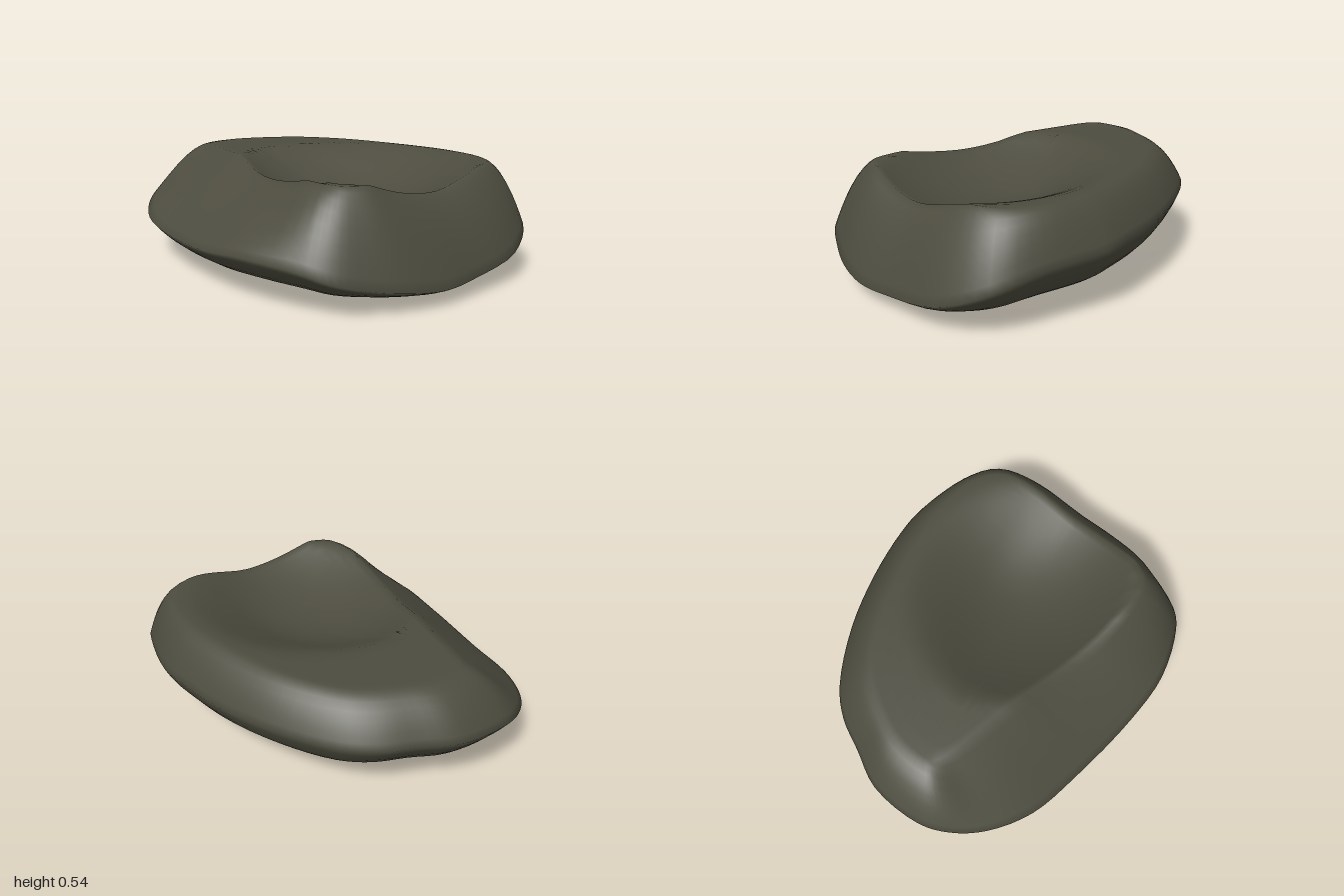
import * as THREE from 'three';
import { mergeVertices } from 'three/addons/utils/BufferGeometryUtils.js';

// Around the stone: widest edge x, y, z, then the top crest x, z
const RIM = [
  [0.975, 0.09, 0.0, 0.75, 0.0], [0.95, 0.08, 0.2, 0.71, 0.2],
  [0.89, 0.1, 0.38, 0.67, 0.34], [0.79, 0.13, 0.55, 0.63, 0.43],
  [0.69, 0.17, 0.68, 0.58, 0.48], [0.57, 0.21, 0.745, 0.5, 0.49],
  [0.28, 0.23, 0.797, 0.26, 0.45], [0.0, 0.2, 0.76, 0.0, 0.36],
  [-0.4, 0.18, 0.65, -0.32, 0.22], [-0.67, 0.2, 0.55, -0.54, 0.14],
  [-0.86, 0.24, 0.4, -0.67, 0.09], [-0.96, 0.28, 0.25, -0.73, 0.05],
  [-1.0, 0.31, 0.1, -0.74, 0.0], [-0.96, 0.33, -0.17, -0.71, -0.15],
  [-0.85, 0.34, -0.34, -0.64, -0.27], [-0.75, 0.34, -0.49, -0.56, -0.37],
  [-0.62, 0.34, -0.6, -0.47, -0.45], [-0.32, 0.34, -0.725, -0.25, -0.55],
  [0.0, 0.33, -0.79, 0.0, -0.6], [0.27, 0.33, -0.803, 0.25, -0.62],
  [0.43, 0.32, -0.79, 0.4, -0.62], [0.72, 0.3, -0.68, 0.62, -0.57],
  [0.92, 0.23, -0.55, 0.75, -0.46], [1.0, 0.14, -0.32, 0.78, -0.27],
];
const SEGMENTS = 96;
const BOWL = { x: 0.25, z: -0.03, depth: 0.18 };
const BASE = { x: 0.16, z: -0.05 };

const { lerp: mix, clamp, smoothstep } = THREE.MathUtils;

// Height of the top: the hollow has a different reach on each side and a soft back edge
function topHeight(x, z) {
  const dx = x - BOWL.x, dz = z - BOWL.z;
  const u = (dx / (dx > 0 ? 0.66 : 0.62)) ** 2 + (dz / (dz > 0 ? 0.52 : 0.58)) ** 2;
  const softness = 1 + 0.6 * clamp(-dz / 0.3, 0, 1);
  return 0.535 - BOWL.depth * Math.max(0, 1 - u) ** softness;
}

// The sides swell outwards, except for the flat front face
function swell(edge) {
  return 0.22 - 0.18 * smoothstep(edge.z, 0.15, 0.45) * (1 - smoothstep(edge.x, 0.3, 0.6));
}

function stoneGeometry() {
  const loop = (points) => new THREE.CatmullRomCurve3(points, true, 'centripetal');
  const edgeCurve = loop(RIM.map(([x, y, z]) => new THREE.Vector3(x, y, z)));
  const crestCurve = loop(RIM.map((r) => new THREE.Vector3(r[3], 0, r[4])));

  // Rings run from the hollow, over the crest, down the sides and under the base
  const rings = [];
  for (let i = 0; i <= 14; i++) {
    const t = i / 14;
    rings.push((edge, crest) => {
      const x = mix(BOWL.x, crest.x, t), z = mix(BOWL.z, crest.z, t);
      return [x, topHeight(x, z), z];
    });
  }
  for (const t of [0.12, 0.25, 0.4, 0.55, 0.7, 0.82, 0.92, 1]) {
    rings.push((edge, crest) => {
      const y = mix(topHeight(crest.x, crest.z), edge.y, t) + swell(edge) * t * (1 - t);
      return [mix(crest.x, edge.x, t), y, mix(crest.z, edge.z, t)];
    });
  }
  for (const t of [0.98, 0.95, 0.91, 0.86, 0.8, 0.72, 0.63, 0.54, 0.45, 0.35, 0.18, 0]) {
    rings.push((edge) => {
      const s = Math.max(0, (t - 0.35) / 0.65);
      const y = edge.y * (0.52 * s ** 1.1 + 0.48 * s ** 7);
      return [mix(BASE.x, edge.x, t), y, mix(BASE.z, edge.z, t)];
    });
  }

  const positions = [], indices = [];
  rings.forEach((ring, k) => {
    for (let j = 0; j < SEGMENTS; j++) {
      const u = j / SEGMENTS;
      positions.push(...ring(edgeCurve.getPoint(u), crestCurve.getPoint(u)));
      if (k === rings.length - 1) continue;
      const a = k * SEGMENTS + j, b = k * SEGMENTS + (j + 1) % SEGMENTS;
      indices.push(a, b, a + SEGMENTS, b, b + SEGMENTS, a + SEGMENTS);
    }
  });
  const geometry = new THREE.BufferGeometry();
  geometry.setAttribute('position', new THREE.Float32BufferAttribute(positions, 3));
  geometry.setIndex(indices);
  const smooth = mergeVertices(geometry, 1e-4);
  smooth.computeVertexNormals();
  return smooth;
}

export function createModel() {
  const group = new THREE.Group();
  group.name = 'hollowStone';
  const material = new THREE.MeshStandardMaterial({ color: 0x4d4c3f });
  material.name = 'darkOliveStone';
  const stone = new THREE.Mesh(stoneGeometry(), material);
  stone.name = 'stone';
  group.add(stone);
  return group;
}
